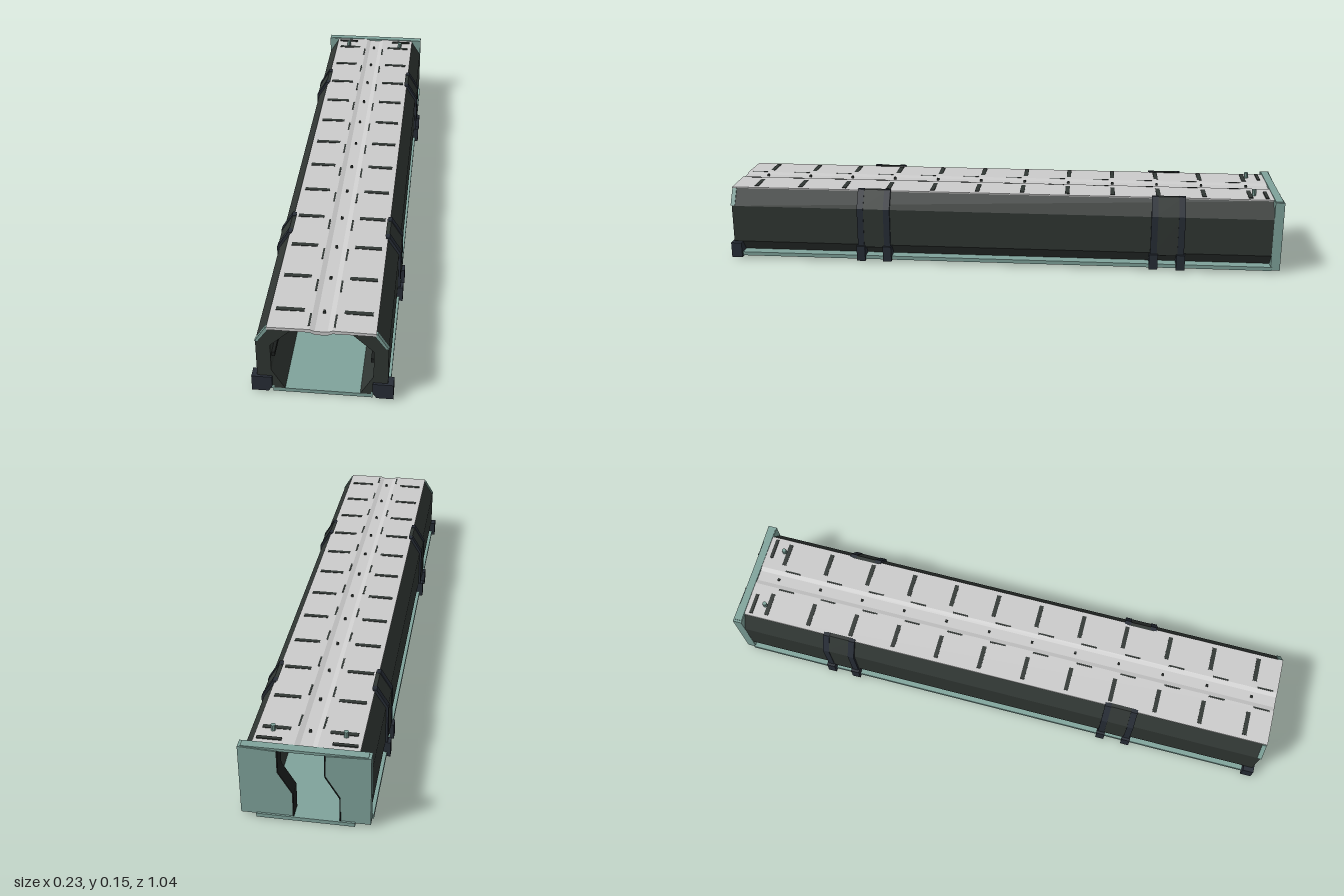
import * as THREE from 'three';

const CX = -0.0945, FRONT = 0.04, BACK = -0.975;
const mat = (color) => new THREE.MeshStandardMaterial({ color, flatShading: true, side: THREE.DoubleSide });

export function createModel() {
  const model = new THREE.Group();
  model.name = 'cargoTunnel';
  const hull = new THREE.Group();
  hull.position.x = CX;
  model.add(hull);

  const teal = mat(0x7fa39b), dark = mat(0x303633), black = mat(0x1c1f1e);
  const footMat = mat(0x272d36), grey = mat(0xcccccc);

  const add = (name, geo, material) => {
    const mesh = new THREE.Mesh(geo, material);
    mesh.name = name;
    hull.add(mesh);
    return mesh;
  };
  const box = (name, material, w, h, d, x, y, z) =>
    add(name, new THREE.BoxGeometry(w, h, d), material).position.set(x, y, z);
  // Extrudes an x-y outline from z0 (rear) to z1 (front)
  const prism = (name, material, pts, z0, z1) => {
    const shape = new THREE.Shape(pts.map(([x, y]) => new THREE.Vector2(x, y)));
    const geo = new THREE.ExtrudeGeometry(shape, { depth: z1 - z0, bevelEnabled: false });
    geo.translate(0, 0, z0);
    return add(name, geo, material);
  };
  const flip = (pts, s) => pts.map(([x, y]) => [x * s, y]);

  // Floor
  box('floor', teal, 0.159, 0.007, FRONT - BACK, 0, 0.0045, (FRONT + BACK) / 2);

  // Roof deck with a shallow centre gutter
  prism('roof', grey, [
    [-0.085, 0.131], [-0.018, 0.131], [-0.009, 0.127], [0.009, 0.127], [0.018, 0.131], [0.085, 0.131],
    [0.085, 0.136], [0.018, 0.137], [0.01, 0.134], [-0.01, 0.134], [-0.018, 0.137], [-0.085, 0.136],
  ], BACK, FRONT + 0.003);

  const wall = [
    [0.082, 0.008], [0.104, 0.034], [0.104, 0.104], [0.085, 0.134],
    [0.045, 0.132], [0.081, 0.097], [0.081, 0.045], [0.06, 0.008],
  ];
  const strap = [
    [0.103, 0.03], [0.107, 0.03], [0.107, 0.105], [0.087, 0.138], [0.08, 0.138], [0.103, 0.103],
  ];
  const strapZ = [-0.232, -0.782];

  for (const s of [-1, 1]) {
    // Faceted side walls, sill and inner ledge
    prism('sideWall', dark, flip(wall, s), BACK, FRONT);
    box('sill', teal, 0.03, 0.007, FRONT - BACK, s * 0.092, 0.0095, (FRONT + BACK) / 2);
    box('innerRail', black, 0.006, 0.008, FRONT - BACK - 0.02, s * 0.079, 0.07, (FRONT + BACK) / 2);
    // Teal arch rib just inside the front mouth
    prism('frontRib', teal, flip([
      [0.087, 0.134], [0.105, 0.105], [0.1, 0.105], [0.08, 0.134],
    ], s), FRONT - 0.006, FRONT + 0.002);

    // Corner foot with a chamfered inner edge
    const foot = flip([
      [0.086, 0.004], [0.113, 0.004], [0.113, 0.033], [0.08, 0.033], [0.08, 0.014],
    ], s);
    prism('cornerFoot', footMat, foot, FRONT - 0.016, FRONT + 0.004);

    // Paired straps, each ending in a foot block
    for (const z of strapZ) {
      prism('strapPlate', dark, flip(strap, s), z - 0.026, z + 0.026);
      for (const dz of [-0.025, 0.025]) {
        prism('strap', footMat, flip(strap.map(([x, y]) => [x + 0.001, y + 0.0005]), s), z + dz - 0.006, z + dz + 0.006);
        prism('strapFoot', footMat, foot, z + dz - 0.008, z + dz + 0.008);
      }
    }
  }

  // Rear bulkhead: two plates leaving a slanted opening
  const edge = [[0.004, 0.134], [0.004, 0.094], [-0.019, 0.054], [-0.019, 0.006]];
  const half = 0.0375;
  prism('rearPlateLeft', teal, [
    ...edge.map(([x, y]) => [x + half + 0.002, y]), [0.1045, 0.006], [0.1045, 0.137],
  ], BACK - 0.015, BACK + 0.002);
  prism('rearPlateRight', teal, [
    ...edge.map(([x, y]) => [x - half, y]), [-0.1045, 0.006], [-0.1045, 0.137],
  ], BACK - 0.015, BACK + 0.002);
  for (const [dx, t] of [[half + 0.002, -0.002], [-half, 0.002]]) {
    prism('openingTrim', black, [
      ...edge.map(([x, y]) => [x + dx, y]),
      ...edge.slice().reverse().map(([x, y]) => [x + dx + t, y]),
    ], BACK - 0.016, BACK + 0.01);
  }
  box('rearHeader', teal, 0.2, 0.005, 0.014, 0, 0.1355, BACK - 0.006);
  box('rearThreshold', teal, 0.159, 0.007, 0.02, 0, 0.0045, BACK - 0.008);

  // Roof seams, panel bars and centre studs
  const rows = 12, pitch = (FRONT - BACK) / rows;
  for (let i = 0; i < rows; i++) {
    const z = FRONT - pitch * (i + 0.5);
    for (const s of [-1, 1]) {
      box('panelBar', dark, 0.045, 0.002, 0.008, s * 0.054, 0.1363, z);
    }
    box('roofStud', dark, 0.004, 0.006, 0.004, 0, 0.135, z);
    for (const s of [-1, 1]) box('gutterMark', dark, 0.003, 0.001, 0.03, s * 0.02, 0.137, z + pitch / 2 - 0.02);
  }
  // Lifting posts near the rear
  for (const s of [-1, 1]) {
    const post = new THREE.CylinderGeometry(0.004, 0.004, 0.012, 8);
    add('roofPost', post, teal).position.set(s * 0.058, 0.141, -0.94);
    box('rearRoofBar', dark, 0.04, 0.002, 0.006, s * 0.06, 0.1375, -0.962);
  }
  return model;
}
